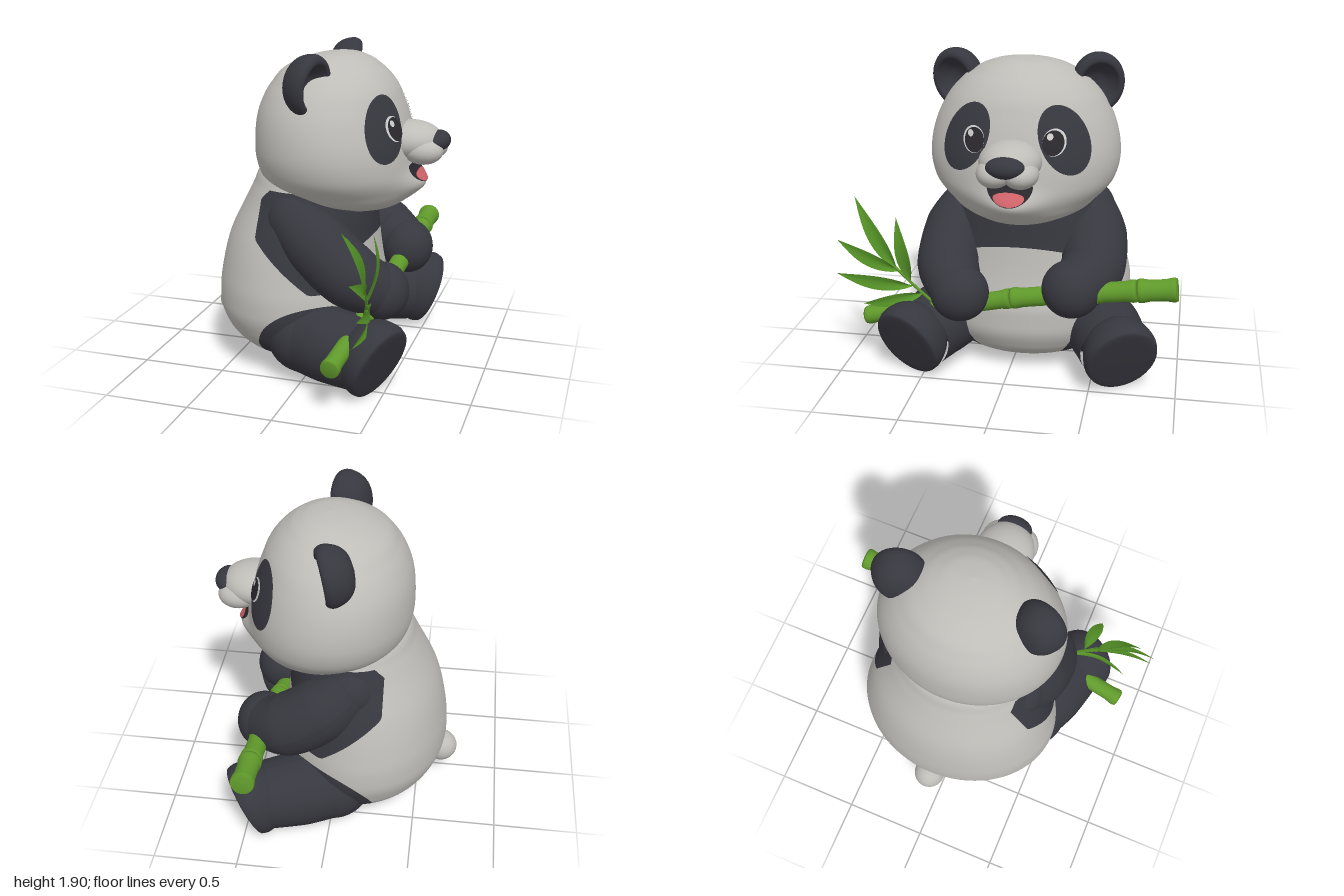
import * as THREE from 'three';

const mat = (name, color, side = THREE.FrontSide) => {
  const m = new THREE.MeshStandardMaterial({ color, side });
  m.name = name;
  return m;
};
const WHITE = mat('fur white', 0xbfbdb8);
const BLACK = mat('fur black', 0x37373f);
const DARK = mat('eye and mouth dark', 0x2b292e);
const SHINE = mat('eye white', 0xd0d0d0);
const PINK = mat('tongue pink', 0xd0646a);
const STALK = mat('bamboo green', 0x609a2b);
const LEAF = mat('leaf green', 0x569527, THREE.DoubleSide);
const CX = 0.055; // the animal sits slightly off the centre

// Cross-sections: height, half width, back z, front z
const HEAD = [
  [0.95, 0, 0.15, 0.15], [0.96, 0.15, -0.03, 0.33], [1.0, 0.3, -0.2, 0.44], [1.1, 0.45, -0.35, 0.505],
  [1.2, 0.53, -0.41, 0.53], [1.33, 0.557, -0.43, 0.52], [1.45, 0.543, -0.425, 0.493],
  [1.6, 0.487, -0.39, 0.445], [1.7, 0.42, -0.335, 0.4], [1.8, 0.305, -0.235, 0.31], [1.85, 0.205, -0.12, 0.235],
  [1.875, 0.11, -0.01, 0.16], [1.885, 0, 0.07, 0.07]];
const BODY = [
  [0.04, 0, -0.06, -0.06], [0.05, 0.2, -0.22, 0.1], [0.075, 0.34, -0.35, 0.2], [0.12, 0.46, -0.47, 0.275],
  [0.2, 0.56, -0.58, 0.335], [0.3, 0.61, -0.645, 0.365], [0.4, 0.63, -0.665, 0.365], [0.5, 0.625, -0.66, 0.345],
  [0.6, 0.605, -0.645, 0.325], [0.8, 0.55, -0.595, 0.3], [1.0, 0.47, -0.5, 0.285], [1.1, 0.43, -0.45, 0.25],
  [1.2, 0.37, -0.4, 0.2], [1.26, 0.26, -0.3, 0.1], [1.3, 0, -0.1, -0.1]];

// Smooth interpolation of one column of a section table, without overshoot
function sample(table, y, k) {
  const n = table.length - 1;
  let i = 0;
  while (i < n - 1 && y > table[i + 1][0]) i++;
  const step = j => table[j + 1][0] - table[j][0];
  const slope = j => (table[j + 1][k] - table[j][k]) / step(j);
  const tangent = j => {
    if (j === 0) return slope(0);
    if (j === n) return slope(n - 1);
    const a = slope(j - 1), b = slope(j);
    if (a * b <= 0) return 0;
    const mean = Math.abs(a * step(j) + b * step(j - 1)) / (step(j) + step(j - 1));
    return Math.sign(a) * Math.min(mean, 2 * Math.abs(a), 2 * Math.abs(b));
  };
  const h = step(i), t = THREE.MathUtils.clamp((y - table[i][0]) / h, 0, 1);
  const t2 = t * t, t3 = t2 * t;
  return (2 * t3 - 3 * t2 + 1) * table[i][k] + (t3 - 2 * t2 + t) * h * tangent(i)
    + (3 * t2 - 2 * t3) * table[i + 1][k] + (t3 - t2) * h * tangent(i + 1);
}

const chin = (x, y) => 0.08 * Math.exp(-((x / 0.17) ** 2) - ((y - 1.12) / 0.08) ** 2);

// Front surface of the head
function headZ(x, y) {
  const w = sample(HEAD, y, 1), b = sample(HEAD, y, 2), f = sample(HEAD, y, 3);
  return (b + f) / 2 + (f - b) / 2 * Math.sqrt(Math.max(0, 1 - (x / w) ** 2)) + chin(x, y);
}

// Skin over elliptical sections; faces are cut along field = 0, the positive side is the second group
function loft(table, rows, cols, push, field) {
  const pos = [], value = [], groups = [[], []], cuts = new Map();
  const addVertex = (x, y, z) => {
    pos.push(x, y, z);
    return value.push(field(x, y, z)) - 1;
  };
  const y0 = table[0][0], y1 = table[table.length - 1][0];
  for (let i = 0; i <= rows; i++) {
    const y = (y0 + y1) / 2 - (y1 - y0) / 2 * Math.cos(Math.PI * i / rows);
    const w = sample(table, y, 1), b = sample(table, y, 2), f = sample(table, y, 3);
    for (let j = 0; j < cols; j++) {
      const a = 2 * Math.PI * j / cols, x = w * Math.sin(a);
      addVertex(x, y, (b + f) / 2 + (f - b) / 2 * Math.cos(a) + (Math.cos(a) > 0 ? push(x, y) : 0));
    }
  }
  const cut = (p, q) => {
    const [a, b] = p < q ? [p, q] : [q, p], key = a + '_' + b;
    if (!cuts.has(key)) {
      const t = value[a] / (value[a] - value[b]);
      cuts.set(key, addVertex(...[0, 1, 2].map(k => pos[a * 3 + k] * (1 - t) + pos[b * 3 + k] * t)));
    }
    return cuts.get(key);
  };
  const addFace = (...tri) => groups.forEach((list, g) => {
    const inside = p => (value[p] > 0) === (g === 1), poly = [];
    tri.forEach((p, k) => {
      const q = tri[(k + 1) % 3];
      if (inside(p)) poly.push(p);
      if (inside(p) !== inside(q)) poly.push(cut(p, q));
    });
    for (let k = 2; k < poly.length; k++) list.push(poly[0], poly[k - 1], poly[k]);
  });
  for (let i = 0; i < rows; i++) for (let j = 0; j < cols; j++) {
    const a = i * cols + j, b = i * cols + (j + 1) % cols;
    addFace(a, b, b + cols);
    addFace(a, b + cols, a + cols);
  }
  const g = new THREE.BufferGeometry();
  g.setAttribute('position', new THREE.Float32BufferAttribute(pos, 3));
  g.setIndex(groups.flat());
  g.addGroup(0, groups[0].length, 0);
  g.addGroup(groups[0].length, groups[1].length, 1);
  g.computeVertexNormals();
  return g;
}

// Black shoulder band and hips painted on the body
function bodyField(x, y, z) {
  const low = z < 0.15 ? Math.max(0.55, 0.83 - 0.85 * (z + 0.28)) : 0.8 - 0.5 * x * x;
  const band = Math.min(z + 0.295, 1.11 - y, y - low, z + 1.35 - y);
  const hip = Math.min(0.3 - 0.3 * (((z - 0.12) / 0.38) ** 2 + ((y - 0.19) / 0.29) ** 2),
    Math.abs(x) - 0.21 - 0.62 * (y - 0.05));
  return Math.max(band, hip);
}

// Thin patch that follows the face; "top" squashes its upper half
function patch(cx, cy, rx, ry, rot, lift, top = 1) {
  const g = new THREE.RingGeometry(0.001, 1, 48, 8), p = g.attributes.position;
  for (let i = 0; i < p.count; i++) {
    const u = p.getX(i) * rx, v = p.getY(i) * ry * (p.getY(i) > 0 ? top : 1);
    const x = cx + u * Math.cos(rot) - v * Math.sin(rot), y = cy + u * Math.sin(rot) + v * Math.cos(rot);
    p.setXYZ(i, x, y, headZ(x, y) + lift);
  }
  g.computeVertexNormals();
  return g;
}

// Tapered limb along points [x, y, z, radius]
function limb(pts) {
  const curve = new THREE.CatmullRomCurve3(pts.map(p => new THREE.Vector3(p[0], p[1], p[2])));
  const n = 32, m = 32, g = new THREE.TubeGeometry(curve, n, 1, m), p = g.attributes.position;
  const v = new THREE.Vector3();
  for (let i = 0; i <= n; i++) {
    const c = curve.getPointAt(i / n), t = curve.getUtoTmapping(i / n) * (pts.length - 1);
    const k = Math.min(Math.floor(t), pts.length - 2), r = THREE.MathUtils.lerp(pts[k][3], pts[k + 1][3], t - k);
    for (let j = 0; j <= m; j++) {
      const q = i * (m + 1) + j;
      v.fromBufferAttribute(p, q).sub(c).multiplyScalar(r).add(c);
      p.setXYZ(q, v.x, v.y, v.z);
    }
  }
  g.computeVertexNormals();
  return g;
}

// Round part whose axis points to +z, from a smoothed profile running back to front
function turned(profile) {
  const curve = new THREE.SplineCurve(profile.map(p => new THREE.Vector2(...p)));
  const pts = curve.getPoints(40).map(p => new THREE.Vector2(Math.max(0, p.x), p.y));
  return new THREE.LatheGeometry(pts, 40).rotateX(Math.PI / 2);
}

// Curved leaf blade from base to tip
function leaf(base, tip, width) {
  const g = new THREE.PlaneGeometry(1, 1, 4, 12), p = g.attributes.position;
  const a = new THREE.Vector3(...base), b = new THREE.Vector3(...tip), c = new THREE.Vector3();
  const side = new THREE.Vector3(b.y - a.y, a.x - b.x, 0).normalize();
  for (let i = 0; i < p.count; i++) {
    const t = p.getY(i) + 0.5, u = p.getX(i);
    c.lerpVectors(a, b, t).addScaledVector(side, u * width * Math.sin(Math.PI * t ** 0.8));
    p.setXYZ(i, c.x, c.y, c.z + 0.04 * Math.sin(Math.PI * t) + 0.04 * Math.abs(u) * (1 - t));
  }
  g.computeVertexNormals();
  return g;
}

export function createModel() {
  const root = new THREE.Group(), bear = new THREE.Group(), bamboo = new THREE.Group();
  bear.name = 'panda';
  bamboo.name = 'bamboo';
  bear.position.x = CX;
  const add = (parent, name, geo, material) => {
    const m = new THREE.Mesh(geo, material);
    m.name = name;
    parent.add(m);
    return m;
  };
  const ball = (name, material, x, y, z, rx, ry, rz) => {
    const m = add(bear, name, new THREE.SphereGeometry(1, 36, 24), material);
    m.position.set(x, y, z);
    m.scale.set(rx, ry, rz);
  };

  // Body, tail and head
  add(bear, 'body', loft(BODY, 96, 120, () => 0, bodyField), [WHITE, BLACK]);
  ball('tail', WHITE, 0.02, 0.25, -0.64, 0.097, 0.097, 0.1);
  add(bear, 'head', loft(HEAD, 72, 80, chin, () => -1), [WHITE, BLACK]);

  // Muzzle, nose and mouth
  ball('muzzle', WHITE, -0.01, 1.38, 0.5, 0.175, 0.118, 0.195);
  ball('nose', BLACK, -0.01, 1.387, 0.663, 0.107, 0.06, 0.073);
  add(bear, 'mouth', patch(-0.01, 1.245, 0.13, 0.105, 0, 0.006, 0.2), DARK);
  add(bear, 'tongue', patch(-0.01, 1.188, 0.088, 0.042, 0, 0.012, 0.7), PINK);

  const earGeo = turned([[0, -0.115], [0.08, -0.1], [0.13, -0.055], [0.154, 0.015], [0.145, 0.06],
    [0.118, 0.072], [0.095, 0.045], [0.05, 0], [0, -0.015]]);
  const footGeo = turned([[0, -0.26], [0.1, -0.24], [0.18, -0.16], [0.21, -0.07], [0.207, -0.02],
    [0.188, 0], [0.1, 0.004], [0, 0.005]]);

  for (const s of [-1, 1]) {
    const side = s < 0 ? 'right' : 'left';
    // Face
    ball(side + 'Cheek', WHITE, s * 0.072 - 0.01, 1.335, 0.59, 0.1, 0.08, 0.118);
    add(bear, side + 'EyePatch', patch(s * 0.274, 1.485, 0.124, 0.2, s * 0.46, 0.005), BLACK);
    add(bear, side + 'EyeWhite', patch(s * 0.224, 1.482, 0.064, 0.073, 0, 0.01), SHINE);
    add(bear, side + 'Iris', patch(s * 0.219, 1.48, 0.058, 0.067, 0, 0.015), DARK);
    add(bear, side + 'EyeGlint', patch(s * 0.222 - 0.02, 1.515, 0.017, 0.019, 0, 0.02), SHINE);
    // Ear
    const ear = add(bear, side + 'Ear', earGeo, BLACK);
    ear.position.set(s * 0.405, 1.735, -0.01);
    ear.rotation.set(0.15, s * 0.32, 0, 'YXZ');
    ear.scale.set(1, 1.17, 1);
    // Arm and paw
    const dy = s < 0 ? -0.04 : 0.03;
    add(bear, side + 'Arm', limb([[s * 0.36, 0.94, -0.1, 0.165], [s * 0.415, 0.82, 0.05, 0.195],
      [s * 0.425, 0.67 + dy / 2, 0.26, 0.19], [s * 0.35, 0.59 + dy, 0.41, 0.155]]), BLACK);
    ball(side + 'Shoulder', BLACK, s * 0.36, 0.94, -0.1, 0.165, 0.165, 0.165);
    ball(side + 'Paw', BLACK, s * 0.328, 0.585 + dy, 0.42, 0.172, 0.17, 0.16);
    // Hip, leg and foot
    ball(side + 'Hip', BLACK, s * 0.43, 0.26, 0, 0.235, 0.225, 0.24);
    add(bear, side + 'Leg', limb([[s * 0.43, 0.26, 0, 0.225], [s * 0.51, 0.25, 0.18, 0.225],
      [s * 0.585, 0.235, 0.4, 0.205]]), BLACK);
    const foot = add(bear, side + 'Foot', footGeo, BLACK);
    foot.position.set(s * 0.64, 0.222, 0.503);
    foot.rotation.set(0.4, s * 0.42, 0, 'YXZ');
    foot.scale.set(1.02, 1.14, 1);
  }

  // Bamboo stalk: flared pieces meeting at the nodes
  const nodes = [[-0.885, 0.295, 0.29], [-0.46, 0.39, 0.34], [0.03, 0.52, 0.395], [0.5, 0.6, 0.42],
    [0.76, 0.635, 0.43], [0.985, 0.66, 0.435]].map(p => new THREE.Vector3(...p));
  for (let i = 0; i < nodes.length - 1; i++) {
    const dir = nodes[i + 1].clone().sub(nodes[i]), len = dir.length(), r = 0.052 + 0.003 * i;
    const profile = [[0, 0], [1, 0], [1.08, 0.012], [1.08, 0.03], [0.97, 0.07], [0.97, len - 0.07],
      [1.08, len - 0.03], [1.08, len - 0.012], [1, len], [0, len]].map(([x, y]) => new THREE.Vector2(x * r, y));
    const piece = add(bamboo, 'stalkPiece', new THREE.LatheGeometry(profile, 24), STALK);
    piece.position.copy(nodes[i]);
    piece.quaternion.setFromUnitVectors(new THREE.Vector3(0, 1, 0), dir.normalize());
  }

  // Twig and leaves
  const twig = new THREE.CatmullRomCurve3([[-0.42, 0.41, 0.35], [-0.53, 0.54, 0.4], [-0.66, 0.68, 0.42]]
    .map(p => new THREE.Vector3(...p)));
  add(bamboo, 'twig', new THREE.TubeGeometry(twig, 12, 0.009, 8), STALK);
  const leaves = [
    [[-0.65, 0.66, 0.4], [-0.905, 1.08, 0.36], 0.09], [[-0.57, 0.59, 0.4], [-0.63, 1.0, 0.46], 0.08],
    [[-0.64, 0.65, 0.4], [-1.0, 0.83, 0.43], 0.085], [[-0.56, 0.56, 0.4], [-1.0, 0.635, 0.47], 0.085],
    [[-0.5, 0.51, 0.38], [-0.865, 0.425, 0.41], 0.075]];
  for (const l of leaves) add(bamboo, 'leaf', leaf(...l), LEAF);

  root.add(bear, bamboo);
  root.name = 'pandaWithBamboo';
  root.rotation.y = Math.PI / 2; // the animal looks along +x
  const model = new THREE.Group();
  model.name = 'model';
  model.add(root);
  return model;
}
